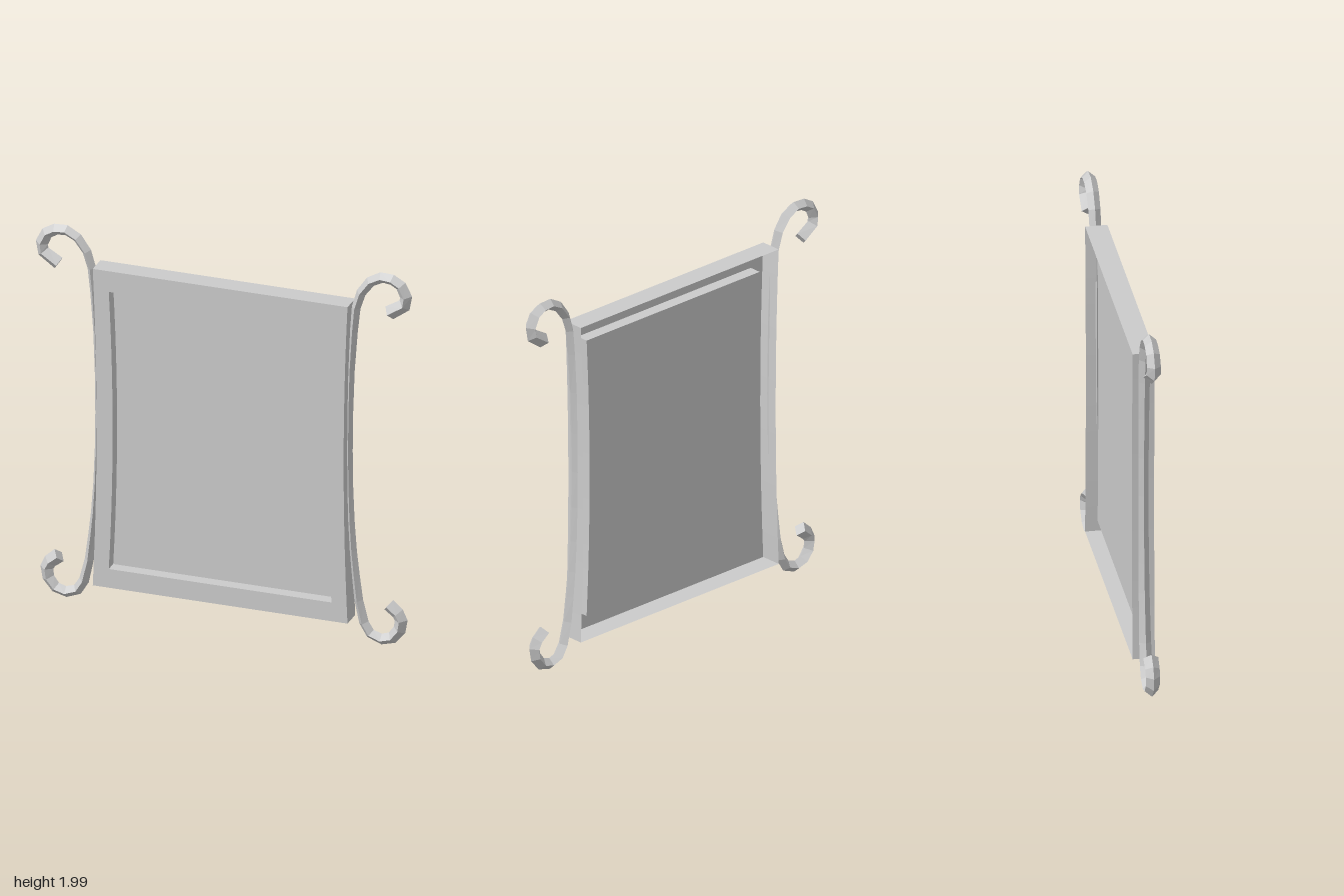
import * as THREE from 'three';

const material = new THREE.MeshStandardMaterial({
  color: 0xcccccc, flatShading: true, side: THREE.DoubleSide,
});

// Skins closed rings of points, optionally capping both ends with a polygon fan.
function loft(rings, capStart, capEnd) {
  const pos = [];
  const tri = (...pts) => pts.forEach((p) => pos.push(p.x, p.y, p.z));
  const n = rings[0].length;
  for (let r = 0; r < rings.length - 1; r++) {
    const a = rings[r], b = rings[r + 1];
    for (let i = 0; i < n; i++) {
      const j = (i + 1) % n;
      tri(a[i], a[j], b[j]);
      tri(a[i], b[j], b[i]);
    }
  }
  const first = rings[0], last = rings[rings.length - 1];
  for (let i = 1; i < n - 1; i++) {
    if (capStart) tri(first[0], first[i + 1], first[i]);
    if (capEnd) tri(last[0], last[i], last[i + 1]);
  }
  const geo = new THREE.BufferGeometry();
  geo.setAttribute('position', new THREE.Float32BufferAttribute(pos, 3));
  geo.computeVertexNormals();
  return geo;
}

function part(name, geo) {
  const mesh = new THREE.Mesh(geo, material);
  mesh.name = name;
  return mesh;
}

// Rectangle whose upright sides bow inwards, listed counter-clockwise.
function bowedOutline(halfWidth, y0, y1, z, bow = 0.02, steps = 12) {
  const right = [], left = [];
  for (let i = 0; i <= steps; i++) {
    const t = (i / steps) * 2 - 1;
    const x = halfWidth - bow * (1 - t * t);
    const y = y0 + ((y1 - y0) * i) / steps;
    right.push(new THREE.Vector3(x, y, z));
    left.unshift(new THREE.Vector3(-x, y, z));
  }
  return [...right, ...left];
}

// Centre line of the scrolled rail, from the top curl to the bottom curl.
const railPath = [
  [0.857, 1.788], [0.936, 1.84], [0.943, 1.886], [0.917, 1.94], [0.872, 1.966],
  [0.817, 1.97], [0.759, 1.939], [0.711, 1.873], [0.685, 1.79], [0.673, 1.66],
  [0.66, 1.45], [0.654, 1.23], [0.652, 1.02], [0.654, 0.83], [0.66, 0.65],
  [0.67, 0.49], [0.683, 0.36], [0.698, 0.23], [0.725, 0.115], [0.759, 0.06],
  [0.817, 0.039], [0.872, 0.055], [0.91, 0.103], [0.918, 0.155], [0.9, 0.19],
  [0.854, 0.228],
].map(([x, y]) => new THREE.Vector3(x, y, 0));

// Diamond-section rail, slim at mid-height and thicker towards the curls.
function railGeometry() {
  const lengths = [0];
  railPath.forEach((p, i) => {
    if (i) lengths.push(lengths[i - 1] + p.distanceTo(railPath[i - 1]));
  });
  const total = lengths[lengths.length - 1];
  const last = railPath.length - 1;
  const rings = railPath.map((p, i) => {
    const before = railPath[Math.max(i - 1, 0)], after = railPath[Math.min(i + 1, last)];
    const dir = after.clone().sub(before).normalize();
    const u = (lengths[i] / total) * 2 - 1;
    const side = new THREE.Vector3(-dir.y, dir.x, 0).multiplyScalar(0.015 + 0.022 * u * u);
    const depth = new THREE.Vector3(0, 0, 0.025 + 0.012 * u * u);
    return [
      p.clone().add(side), p.clone().add(depth),
      p.clone().sub(side), p.clone().sub(depth),
    ];
  });
  return loft(rings, true, true);
}

export function createModel() {
  const model = new THREE.Group();
  model.name = 'scrolledFramePanel';

  // Open-backed frame: outer walls, front border and recess walls
  const outerBack = bowedOutline(0.66, 0.12, 1.81, -0.055);
  const outerFront = bowedOutline(0.66, 0.12, 1.81, 0.055);
  const recessFront = bowedOutline(0.577, 0.22, 1.7, 0.055);
  const recessBack = bowedOutline(0.577, 0.22, 1.7, -0.008);
  model.add(part('frame', loft([outerBack, outerFront, recessFront, recessBack])));

  // Recessed flat panel
  const panel = new THREE.ShapeGeometry(
    new THREE.Shape(recessBack.map((p) => new THREE.Vector2(p.x, p.y))));
  panel.translate(0, 0, -0.008);
  model.add(part('recessedPanel', panel));

  // Scrolled rails on both sides; a half turn gives the mirrored one
  const railGeo = railGeometry();
  const leftRail = part('leftScrollRail', railGeo);
  const rightRail = part('rightScrollRail', railGeo);
  rightRail.rotation.y = Math.PI;
  model.add(leftRail, rightRail);

  return model;
}
